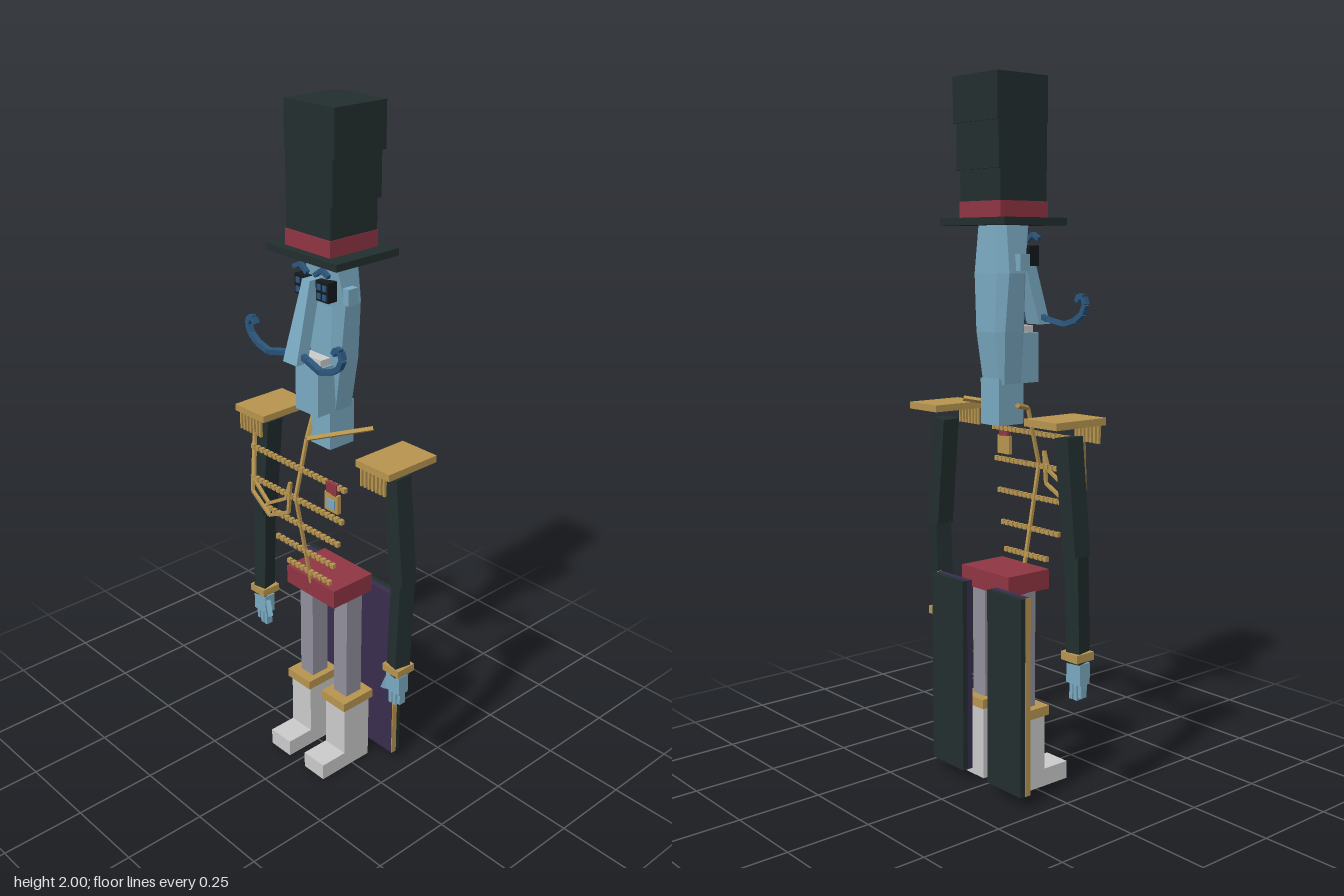
import * as THREE from 'three';

const mat = (name, color) => Object.assign(new THREE.MeshStandardMaterial({ color }), { name });
const M = {
  dark: mat('charcoal cloth', 0x222e2f), skin: mat('blue skin', 0x7aaac2), gold: mat('gold braid', 0xb8954f),
  red: mat('crimson', 0x903543), purple: mat('purple lining', 0x392d4e), grey: mat('grey trousers', 0x918f9c),
  white: mat('off white', 0xcbcbcb), navy: mat('navy hair', 0x2b567d), black: mat('black', 0x14191c),
};
const V = (p) => new THREE.Vector3(...p);

export function createModel() {
  const root = new THREE.Group();
  root.name = 'ringmaster';

  const add = (name, geo, m, parent = root) => {
    const mesh = new THREE.Mesh(geo, m);
    mesh.name = name;
    parent.add(mesh);
    return mesh;
  };
  // box given by its limits on each axis
  const box = (name, m, [x0, x1], [y0, y1], [z0, z1], parent) => {
    const mesh = add(name, new THREE.BoxGeometry(x1 - x0, y1 - y0, z1 - z0), m, parent);
    mesh.position.set((x0 + x1) / 2, (y0 + y1) / 2, (z0 + z1) / 2);
    return mesh;
  };
  // box mirrored to both sides
  const pair = (name, m, x, y, z) => {
    box(name + 'Left', m, x, y, z);
    box(name + 'Right', m, [-x[1], -x[0]], y, z);
  };
  // straight bar between two points
  const bar = (name, m, a, b, w, d = w, parent) => {
    const p = V(a), q = V(b), dir = q.clone().sub(p);
    const mesh = add(name, new THREE.BoxGeometry(w, dir.length(), d), m, parent);
    mesh.position.copy(p).add(q).multiplyScalar(0.5);
    mesh.quaternion.setFromUnitVectors(new THREE.Vector3(0, 1, 0), dir.normalize());
    return mesh;
  };
  const chain = (name, m, pts, w, d = w) => {
    const g = new THREE.Group();
    g.name = name;
    for (let i = 1; i < pts.length; i++) bar(name + 'Segment', m, pts[i - 1], pts[i], w, d, g);
    root.add(g);
  };
  // loft through sections [y, halfWidth, zFront, zBack, chamfer], listed upwards
  const loft = (name, m, sections) => {
    const pos = [];
    const rings = sections.map(([y, w, f, b, c]) => [
      [w - c, y, f], [w, y, f - c], [w, y, b + c], [w - c, y, b],
      [c - w, y, b], [-w, y, b + c], [-w, y, f - c], [c - w, y, f]]);
    const tri = (...p) => p.forEach((v) => pos.push(...v));
    for (let r = 1; r < rings.length; r++) for (let i = 0; i < 8; i++) {
      const j = (i + 1) % 8, A = rings[r - 1], B = rings[r];
      tri(A[i], A[j], B[j]);
      tri(A[i], B[j], B[i]);
    }
    const lo = rings[0], hi = rings[rings.length - 1];
    for (let i = 1; i < 7; i++) {
      tri(hi[0], hi[i], hi[i + 1]);
      tri(lo[0], lo[i + 1], lo[i]);
    }
    const geo = new THREE.BufferGeometry();
    geo.setAttribute('position', new THREE.Float32BufferAttribute(pos, 3));
    geo.computeVertexNormals();
    return add(name, geo, m);
  };

  // top hat
  box('hatBrim', M.dark, [-0.138, 0.138], [1.6, 1.62], [-0.133, 0.09]);
  box('hatBand', M.red, [-0.088, 0.088], [1.62, 1.665], [-0.105, 0.065]);
  box('hatCrownLower', M.dark, [-0.086, 0.086], [1.62, 1.75], [-0.103, 0.062]);
  box('hatCrownMiddle', M.dark, [-0.087, 0.093], [1.75, 1.875], [-0.11, 0.062]);
  box('hatCrownUpper', M.dark, [-0.087, 0.103], [1.875, 2], [-0.114, 0.065]);

  // head, neck and jaw
  loft('head', M.skin, [
    [1.165, 0.045, 0.015, -0.065, 0.01], [1.31, 0.06, 0.02, -0.085, 0.02],
    [1.47, 0.072, 0.02, -0.085, 0.025], [1.6, 0.058, 0.038, -0.078, 0.02]]);
  box('neck', M.skin, [-0.04, 0.04], [1.05, 1.18], [-0.07, 0.02]);
  box('jaw', M.skin, [-0.046, 0.046], [1.165, 1.305], [0.005, 0.07]);
  box('teeth', M.white, [-0.04, 0.04], [1.305, 1.325], [0.015, 0.055]);
  pair('ear', M.skin, [0.06, 0.088], [1.477, 1.522], [-0.035, 0]);

  // long tapering nose that hangs forward
  const nose = new THREE.BoxGeometry(0.05, 0.22, 0.04);
  const np = nose.attributes.position;
  for (let i = 0; i < np.count; i++) {
    const t = 0.5 - np.getY(i) / 0.22;
    np.setX(i, np.getX(i) * (0.6 + 0.5 * t));
    np.setZ(i, np.getZ(i) + 0.05 + 0.06 * t);
  }
  nose.computeVertexNormals();
  add('nose', nose, M.skin).position.y = 1.435;

  for (const s of [-1, 1]) {
    // eyes and brows
    const mx = (a, b) => (s > 0 ? [a, b] : [-b, -a]);
    box('eye', M.black, mx(0.018, 0.066), [1.49, 1.545], [0.02, 0.052]);
    for (const x of [0.024, 0.045]) for (const y of [1.496, 1.521])
      box('eyeGlint', M.navy, mx(x, x + 0.014), [y, y + 0.016], [0.051, 0.055]);
    bar('eyebrow', M.navy, [s * 0.015, 1.557, 0.052], [s * 0.042, 1.577, 0.052], 0.012);
    bar('eyebrow', M.navy, [s * 0.042, 1.577, 0.052], [s * 0.068, 1.563, 0.052], 0.012);

    // curled moustache
    chain('moustache', M.navy, [[0.01, 1.35], [0.045, 1.34], [0.105, 1.328], [0.15, 1.34], [0.178, 1.36],
      [0.19, 1.385], [0.183, 1.405], [0.166, 1.408], [0.157, 1.392]].map(([x, y], i) =>
      [s * x, y, i < 2 ? 0.105 : 0.114]), 0.015, 0.016);

    // collar trim
    bar('collarTrim', M.gold, [s * 0.118, 1.115, -0.07], [0, 1.087, 0.07], 0.011);

    // epaulette with front fringe
    box('epaulette', M.gold, mx(0.192, 0.32), [1.07, 1.09], [-0.112, 0.068]);
    for (let i = 0; i < 7; i++)
      box('fringe', M.gold, mx(0.208 + i * 0.0145, 0.215 + i * 0.0145), [1.018, 1.07], [0.058, 0.066]);

    // arm
    bar('upperArm', M.dark, [s * 0.266, 1.04, -0.018], [s * 0.299, 0.72, -0.018], 0.05, 0.056);
    bar('forearm', M.dark, [s * 0.299, 0.725, -0.018], [s * 0.298, 0.425, -0.008], 0.044, 0.05);
    box('wristband', M.gold, mx(0.266, 0.329), [0.432, 0.455], [-0.042, 0.022]);

    // hand
    box('palm', M.skin, mx(0.27, 0.324), [0.365, 0.425], [-0.025, 0.012]);
    for (let i = 0; i < 3; i++)
      box('finger', M.skin, mx(0.275 + i * 0.017, 0.287 + i * 0.017), [0.318 + (i === 2 ? 0.01 : 0), 0.37], [-0.018, 0.004]);
    bar('thumb', M.skin, [s * 0.273, 0.41, 0], [s * 0.255, 0.36, 0.005], 0.015);
  }

  // front braid and beaded rows following the belly
  chain('frontBraid', M.gold, [[0, 1.085, 0.072], [0, 0.92, 0.114], [0, 0.6, 0.054]], 0.009);
  const bead = new THREE.BoxGeometry(0.012, 0.014, 0.012);
  for (const [y, w, z] of [[1.01, 0.19, 0.106], [0.915, 0.187, 0.113], [0.825, 0.153, 0.096], [0.735, 0.118, 0.08], [0.66, 0.086, 0.065]]) {
    box('braidRow', M.gold, [-w, w], [y - 0.003, y + 0.003], [z - 0.003, z + 0.003]);
    const n = Math.round(w / 0.0095);
    for (let i = 0; i <= n; i++)
      add('bead', bead, M.gold).position.set(-w + (2 * w * i) / n, y, z);
  }

  // shoulder cords on the right breast
  chain('longCord', M.gold, [[-0.228, 1.03, 0.072], [-0.19, 0.87, 0.115], [-0.11, 0.822, 0.12],
    [-0.025, 0.865, 0.12], [-0.018, 0.96, 0.118]], 0.009);
  chain('shortCord', M.gold, [[-0.225, 1.02, 0.075], [-0.18, 0.91, 0.116], [-0.11, 0.862, 0.122],
    [-0.035, 0.905, 0.12], [-0.018, 0.96, 0.118]], 0.009);

  // medal on the left breast
  box('medalRibbon', M.red, [0.128, 0.168], [0.985, 1.018], [0.104, 0.116]);
  box('medal', M.gold, [0.122, 0.175], [0.933, 0.988], [0.104, 0.116]);
  box('medalInset', M.skin, [0.133, 0.164], [0.943, 0.972], [0.114, 0.119]);

  // belt, legs and boots
  box('belt', M.red, [-0.103, 0.103], [0.578, 0.635], [-0.09, 0.062]);
  pair('leg', M.grey, [0.048, 0.103], [0.23, 0.58], [-0.05, 0.01]);
  pair('bootCuff', M.gold, [0.028, 0.128], [0.215, 0.243], [-0.076, 0.042]);
  pair('boot', M.white, [0.035, 0.12], [0, 0.216], [-0.068, 0.032]);
  pair('bootToe', M.white, [0.035, 0.12], [0, 0.052], [0.03, 0.12]);

  // coat tails: lined inside, gold along the outer edge
  pair('coatTail', M.dark, [0.055, 0.198], [0.033, 0.598], [-0.127, -0.111]);
  pair('coatTailLining', M.purple, [0.055, 0.197], [0.033, 0.598], [-0.111, -0.093]);
  pair('coatTailTrim', M.gold, [0.197, 0.2], [0.033, 0.598], [-0.111, -0.093]);
  return root;
}
